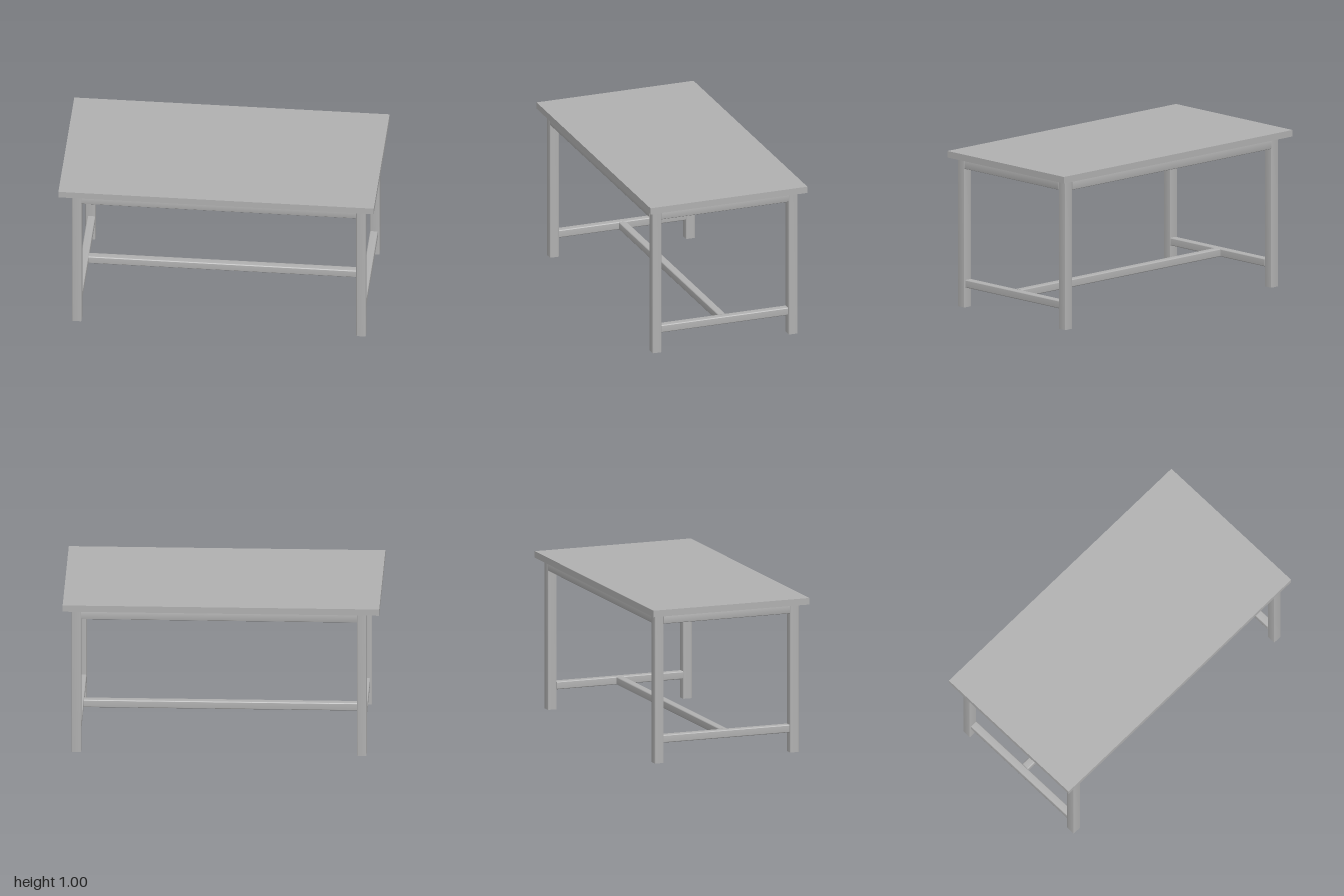
import * as THREE from 'three';
import { toCreasedNormals } from 'three/addons/utils/BufferGeometryUtils.js';

const steel = new THREE.MeshStandardMaterial({ color: 0xb0b0b0 });
steel.name = 'light grey';

// Square tube with slightly rounded long edges, running along z and centred
function tubeGeometry(w, h, length, r = 0.006) {
  const x = w / 2, y = h / 2;
  const s = new THREE.Shape();
  s.moveTo(-x + r, -y);
  s.lineTo(x - r, -y).absarc(x - r, -y + r, r, -Math.PI / 2, 0);
  s.lineTo(x, y - r).absarc(x - r, y - r, r, 0, Math.PI / 2);
  s.lineTo(-x + r, y).absarc(-x + r, y - r, r, Math.PI / 2, Math.PI);
  s.lineTo(-x, -y + r).absarc(-x + r, -y + r, r, Math.PI, Math.PI * 1.5);
  const g = new THREE.ExtrudeGeometry(s, { depth: length, bevelEnabled: false, curveSegments: 3 });
  g.translate(0, 0, -length / 2);
  return toCreasedNormals(g, 0.7);
}

// Bar filling the given ranges, with its length along the chosen axis
function bar(name, axis, [x0, x1], [y0, y1], [z0, z1]) {
  const dx = x1 - x0, dy = y1 - y0, dz = z1 - z0;
  let g;
  if (axis === 'x') g = tubeGeometry(dz, dy, dx).rotateY(Math.PI / 2);
  else if (axis === 'y') g = tubeGeometry(dx, dz, dy).rotateX(-Math.PI / 2);
  else g = tubeGeometry(dx, dy, dz);
  const mesh = new THREE.Mesh(g, steel);
  mesh.name = name;
  mesh.position.set((x0 + x1) / 2, (y0 + y1) / 2, (z0 + z1) / 2);
  return mesh;
}

export function createModel() {
  const table = new THREE.Group();
  table.name = 'table';

  // Flat top with a small gap above the frame
  const top = new THREE.Mesh(new THREE.BoxGeometry(2, 0.042, 1.062), steel);
  top.name = 'tableTop';
  top.position.y = 0.984;
  table.add(top);

  const xs = { right: [-0.918, -0.857], left: [0.885, 0.946] };
  const zs = { front: [0.434, 0.495], back: [-0.487, -0.426] };
  const innerX = [xs.right[1], xs.left[0]];
  const innerZ = [zs.back[1], zs.front[0]];
  const apronY = [0.896, 0.957], stretcherY = [0.127, 0.177];

  // Four legs
  for (const sx in xs)
    for (const sz in zs)
      table.add(bar(`${sz}${sx}Leg`, 'y', xs[sx], [0, 0.957], zs[sz]));

  // Frame below the top
  for (const sz in zs) table.add(bar(`${sz}Apron`, 'x', innerX, apronY, zs[sz]));
  for (const sx in xs) table.add(bar(`${sx}Apron`, 'z', xs[sx], apronY, innerZ));

  // H-shaped stretcher, flush with the inner leg faces
  table.add(bar('rightStretcher', 'z', [innerX[0] - 0.05, innerX[0]], stretcherY, innerZ));
  table.add(bar('leftStretcher', 'z', [innerX[1], innerX[1] + 0.05], stretcherY, innerZ));
  table.add(bar('longStretcher', 'x', innerX, stretcherY, [-0.021, 0.029]));
  return table;
}
